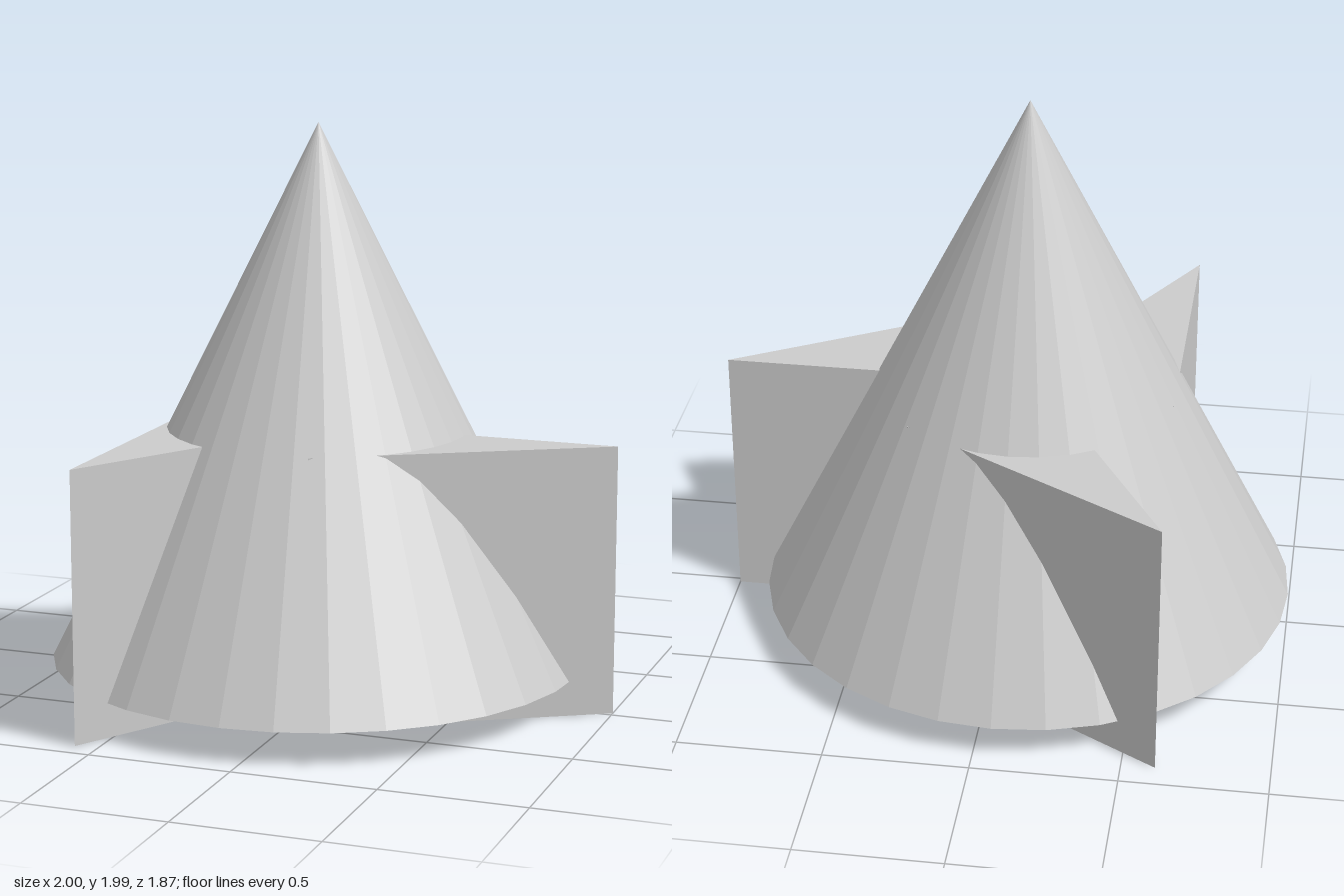
import * as THREE from 'three';

export function createModel() {
  const model = new THREE.Group();
  const material = new THREE.MeshStandardMaterial({ color: 0xcccccc, flatShading: true });
  const radius = 0.935, lift = 0.12;

  // Faceted cone body, raised above the ground
  const cone = new THREE.Mesh(new THREE.ConeGeometry(radius, radius * 2, 32), material);
  cone.name = 'coneBody';
  cone.position.y = lift + radius;
  model.add(cone);

  // Right-triangle fin plan (x, z), extruded downwards from its top
  const plan = new THREE.Shape([
    new THREE.Vector2(1.065, -0.02),
    new THREE.Vector2(0.15, 0.507),
    new THREE.Vector2(0.15, -0.02),
  ]);
  const finGeometry = new THREE.ExtrudeGeometry(plan, { depth: radius, bevelEnabled: false });
  finGeometry.rotateX(Math.PI / 2).translate(0, radius, 0);

  // Three fins evenly spaced around the axis
  for (let i = 0; i < 3; i++) {
    const fin = new THREE.Mesh(finGeometry, material);
    fin.name = `fin${i + 1}`;
    fin.rotation.y = (i * Math.PI * 2) / 3;
    model.add(fin);
  }

  // One fin reaches past the cone, so the axis sits slightly off centre
  model.position.x = radius - 1;
  const root = new THREE.Group();
  root.name = 'finnedCone';
  root.add(model);
  return root;
}
